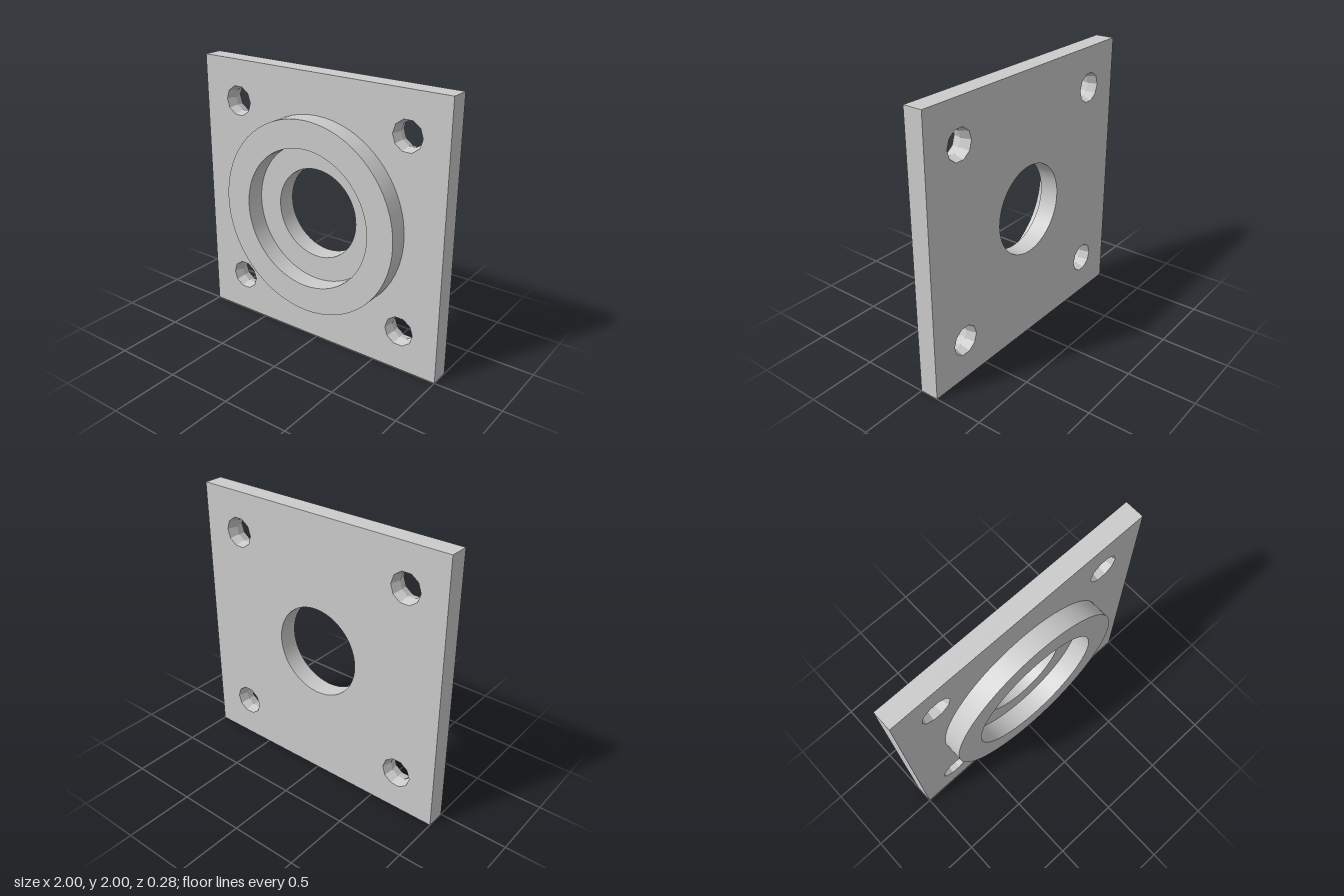
import * as THREE from 'three';
import { toCreasedNormals } from 'three/addons/utils/BufferGeometryUtils.js';

const T = 0.14;          // thickness of plate and of raised ring
const BOLT = 0.7;        // bolt hole offset from the centre
const BOLT_R = 0.11, WAIST_R = 0.09, BORE_R = 0.33;

function circlePath(cx, cy, r, sides) {
  const pts = [];
  for (let i = 0; i < sides; i++) {
    const a = (i / sides) * Math.PI * 2;
    pts.push(new THREE.Vector2(cx + r * Math.cos(a), cy + r * Math.sin(a)));
  }
  return new THREE.Path(pts);
}

// Square plate with a round bore and four coarse bolt holes
function plateGeometry() {
  const shape = new THREE.Shape([
    new THREE.Vector2(-1, -1), new THREE.Vector2(1, -1),
    new THREE.Vector2(1, 1), new THREE.Vector2(-1, 1),
  ]);
  shape.holes.push(circlePath(0, 0, BORE_R, 48));
  for (const sx of [-1, 1])
    for (const sy of [-1, 1])
      shape.holes.push(circlePath(sx * BOLT, sy * BOLT, BOLT_R, 10));

  const geo = new THREE.ExtrudeGeometry(shape, { depth: T, steps: 2, bevelEnabled: false });
  geo.translate(0, 0, -T);

  // Narrow each bolt hole at mid thickness
  const p = geo.attributes.position;
  for (let i = 0; i < p.count; i++) {
    if (Math.abs(p.getZ(i) + T / 2) > 0.01) continue;
    const cx = Math.sign(p.getX(i)) * BOLT, cy = Math.sign(p.getY(i)) * BOLT;
    const dx = p.getX(i) - cx, dy = p.getY(i) - cy;
    if (Math.hypot(dx, dy) > BOLT_R + 0.01) continue;
    const k = WAIST_R / BOLT_R;
    p.setXY(i, cx + dx * k, cy + dy * k);
  }
  return toCreasedNormals(geo, 0.5);
}

// Raised locating ring: outer wall, front face, inner wall
function ringGeometry() {
  const profile = [[0.71, 0], [0.71, T], [0.51, T], [0.51, 0]]
    .map(([r, h]) => new THREE.Vector2(r, h));
  const geo = new THREE.LatheGeometry(profile, 64);
  geo.rotateX(Math.PI / 2);
  return toCreasedNormals(geo, 0.5);
}

export function createModel() {
  const group = new THREE.Group();
  group.name = 'flangePlate';
  const material = new THREE.MeshStandardMaterial({ color: 0xcccccc });
  const add = (name, geo) => {
    const mesh = new THREE.Mesh(geo, material);
    mesh.name = name;
    mesh.position.y = 1;
    group.add(mesh);
  };
  add('plate', plateGeometry());
  add('raisedRing', ringGeometry());
  return group;
}
